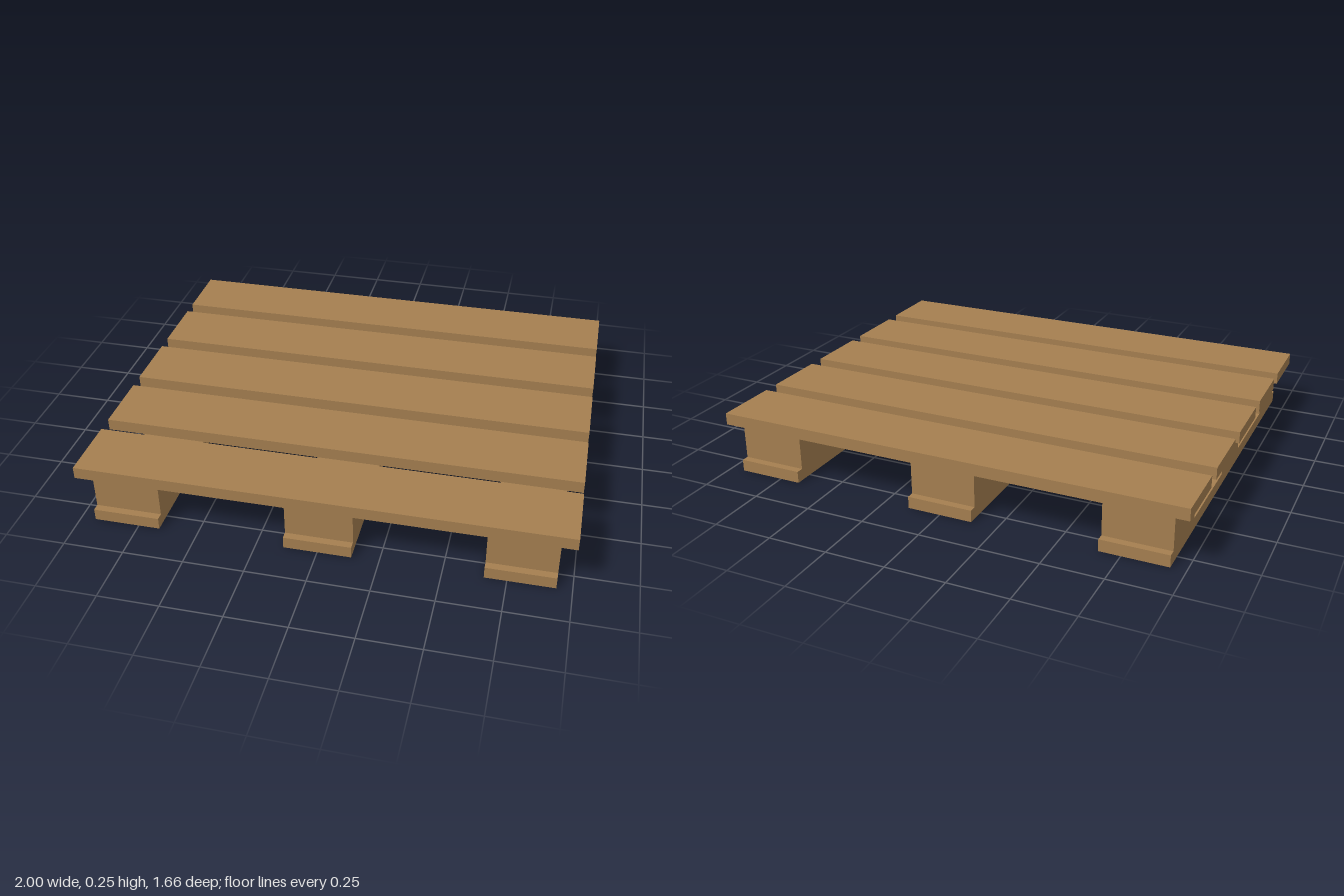
import * as THREE from 'three';

export function createModel() {
  const pallet = new THREE.Group();
  pallet.name = 'pallet';
  const wood = new THREE.MeshStandardMaterial({ color: 0xa57f50 });

  // Box standing on height y
  function addBox(name, w, h, d, x, y, z) {
    const mesh = new THREE.Mesh(new THREE.BoxGeometry(w, h, d), wood);
    mesh.name = name;
    mesh.position.set(x, y + h / 2, z);
    pallet.add(mesh);
  }

  const length = 2, depth = 1.664, board = 0.05, blockHeight = 0.153;
  const boardWidth = 0.277, blockDepth = 0.267;

  // Three runners on the ground, each carrying three spacer blocks
  for (const x of [-0.8, 0, 0.8]) {
    addBox('runner', boardWidth, board, depth, x, 0, 0);
    for (const z of [-0.667, 0, 0.667]) {
      addBox('spacerBlock', boardWidth, blockHeight, blockDepth, x, board, z);
    }
  }

  // Five evenly spaced deck boards
  const pitch = (depth - boardWidth) / 4;
  for (let i = -2; i <= 2; i++) {
    addBox('deckBoard', length, board, boardWidth, 0, board + blockHeight, i * pitch);
  }
  return pallet;
}
